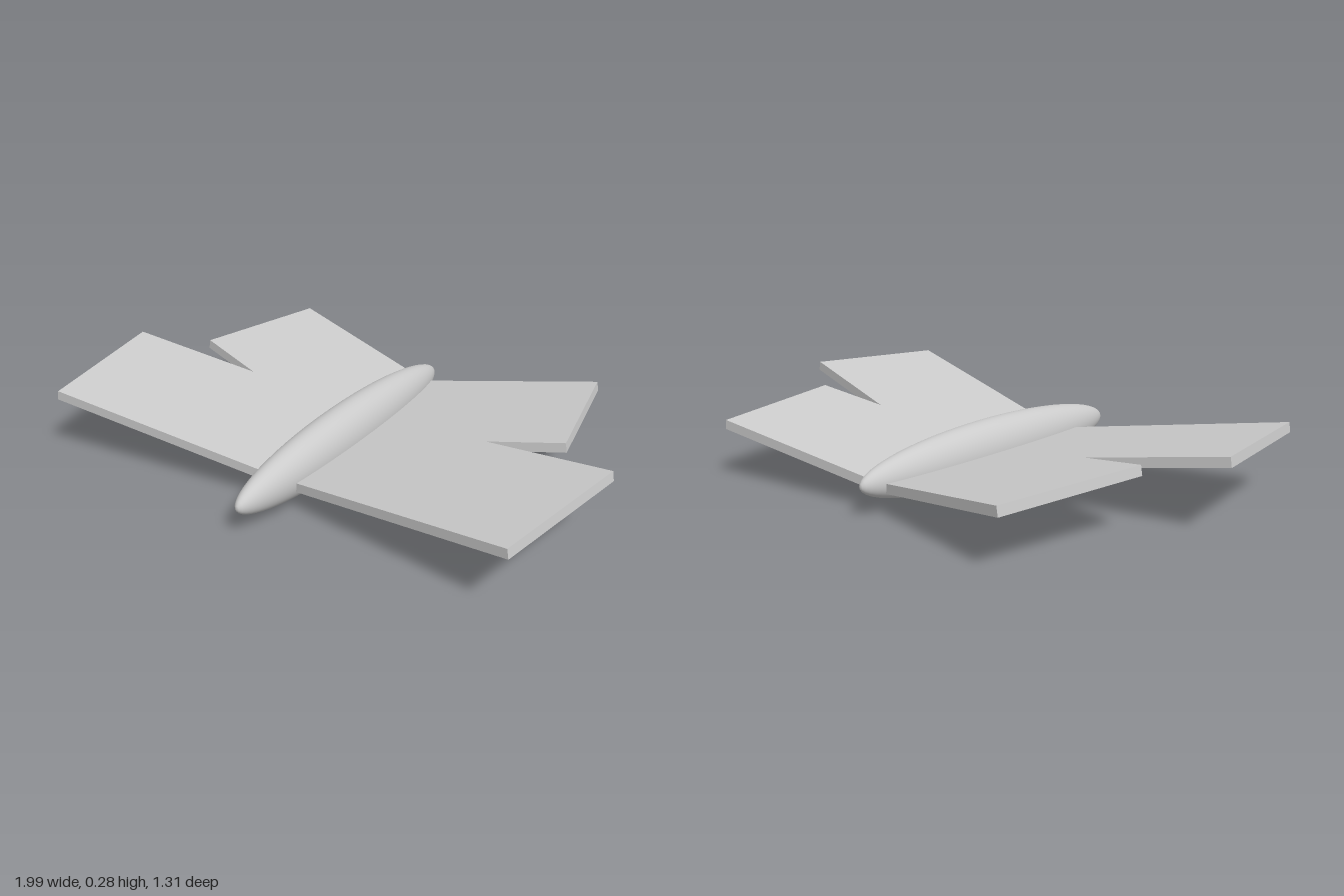
import * as THREE from 'three';

const material = new THREE.MeshStandardMaterial({ color: 0xcccccc });
const DIHEDRAL = THREE.MathUtils.degToRad(10);

// Plan outline (x, z) of one side: forewing and hindwing with the notch between
const OUTLINE = [
  [0, 0.405], [0.9, 0.57], [0.995, 0.03], [0.51, -0.06],
  [0.775, -0.12], [0.668, -0.657], [0, -0.519],
];

function wingPair(side) {
  const stretch = side / Math.cos(DIHEDRAL);
  const shape = new THREE.Shape(OUTLINE.map(([x, z]) => new THREE.Vector2(x * stretch, -z)));
  const geometry = new THREE.ExtrudeGeometry(shape, { depth: 0.035, bevelEnabled: false });
  geometry.rotateX(-Math.PI / 2); // lay the plate flat
  geometry.rotateZ(side * DIHEDRAL); // raise the tip
  geometry.translate(0, 0.07, 0);
  const mesh = new THREE.Mesh(geometry, material);
  mesh.name = side > 0 ? 'leftWings' : 'rightWings';
  return mesh;
}

export function createModel() {
  const model = new THREE.Group();
  model.name = 'flyer';

  // Long smooth ellipsoid body with its poles at nose and tail
  const bodyGeometry = new THREE.SphereGeometry(1, 48, 32);
  bodyGeometry.rotateX(Math.PI / 2);
  bodyGeometry.scale(0.086, 0.112, 0.63);
  const body = new THREE.Mesh(bodyGeometry, material);
  body.name = 'body';
  body.position.set(-0.018, 0.113, 0.02);
  model.add(body);

  // Flat wing plates, mirrored
  for (const side of [1, -1]) model.add(wingPair(side));

  return model;
}
